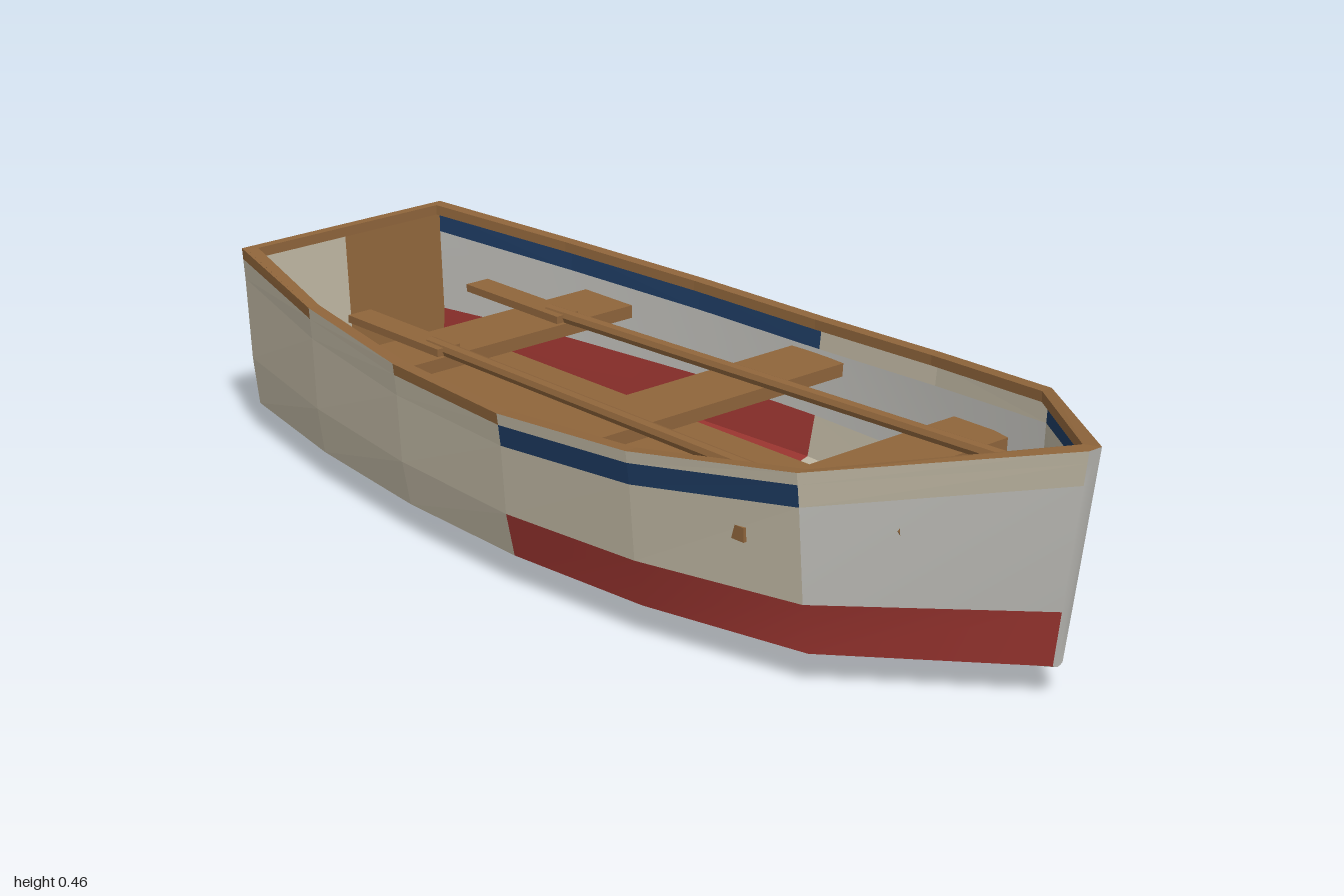
import * as THREE from 'three';
import { toCreasedNormals } from 'three/addons/utils/BufferGeometryUtils.js';

const COLORS = { cream: 0xbdb5a1, grey: 0xbcbbb6, red: 0x98342f, blue: 0x1d3a60, wood: 0x8f653b };
const SMOOTH = ['grey', 'red'];
const materials = {};
for (const [name, color] of Object.entries(COLORS)) {
  materials[name] = new THREE.MeshStandardMaterial({
    color, flatShading: !SMOOTH.includes(name), side: THREE.DoubleSide,
  });
}

// Hull stations, stern to bow: x, sheer y, sheer half width, chine half width, bilge y, bilge half width, keel y
const STATIONS = [
  [-1.0, 0.385, 0.248, 0.235, 0.057, 0.15, 0.055],
  [-0.667, 0.36, 0.33, 0.305, 0.042, 0.205, 0.02],
  [-0.34, 0.345, 0.382, 0.35, 0.033, 0.235, 0.006],
  [-0.02, 0.34, 0.4, 0.365, 0.03, 0.245, 0.002],
  [0.3, 0.355, 0.382, 0.345, 0.033, 0.23, 0.006],
  [0.635, 0.392, 0.307, 0.275, 0.042, 0.19, 0.02],
  [1.0, 0.458, 0.015, 0.012, 0.06, 0.006, 0.058],
];
const SEGS = STATIONS.length - 1;
const ROWS = 6; // keel, bilge, boot, topside, stripe, rim
const CHINE_Y = 0.063;
const PLANK = 0.005;

// Point on the hull at station i, row line j, moved inwards by inset
function hullPoint(i, j, side, inset = 0) {
  const [x0, sheerY, sheerW, chineW, bilgeY, bilgeW, keelY] = STATIONS[i];
  let y, w;
  if (j === 0) [y, w] = [keelY, 0];
  else if (j === 1) [y, w] = [bilgeY, bilgeW];
  else {
    const bootY = i === SEGS ? 0.165 : 0.147 + 0.004 * Math.abs(i - 3);
    y = [CHINE_Y, bootY, sheerY - 0.062, sheerY - 0.022, sheerY][j - 2];
    const t = (y - CHINE_Y) / (sheerY - CHINE_Y);
    w = chineW + (sheerW - chineW) * t + (j === 3 ? 0.02 * chineW : 0);
  }
  // Raked stem and transom
  const drop = Math.min(1, (sheerY - y) / (sheerY - CHINE_Y));
  let x = x0 + (i === 0 ? 0.02 * drop : i === SEGS ? -0.06 * drop : 0);
  if (i === 0) x += inset * 0.8;
  if (i === SEGS) x -= inset * 1.2;
  w = Math.max(Math.min(w, 0.002), w - inset);
  if (j < 3) y += inset;
  return new THREE.Vector3(x, y, side * w);
}

// Collects quads by colour and turns them into one mesh per colour
class Panels {
  constructor(name) { this.name = name; this.sets = {}; }
  quad(color, a, b, c, d) {
    (this.sets[color] ??= []).push(a, b, c, a, c, d);
  }
  build() {
    const group = new THREE.Group();
    group.name = this.name;
    for (const [color, points] of Object.entries(this.sets)) {
      let geometry = new THREE.BufferGeometry().setFromPoints(points);
      geometry.computeVertexNormals();
      if (SMOOTH.includes(color)) geometry = toCreasedNormals(geometry, 1.0);
      const mesh = new THREE.Mesh(geometry, materials[color]);
      mesh.name = `${this.name} ${color} panels`;
      group.add(mesh);
    }
    return group;
  }
}

function outerColor(seg, row) {
  if (row === 0) return seg === 2 ? 'cream' : 'red';
  if (row === 1) return seg === 2 || seg === 5 ? 'cream' : 'red';
  if (row === 2) return seg >= 3 ? 'red' : 'cream';
  if (row === 3) return seg === 5 ? 'grey' : 'cream';
  if (row === 4) return seg === 3 || seg === 4 ? 'blue' : 'cream';
  return seg === 0 || seg === 2 ? 'wood' : 'cream';
}

function innerColor(seg, row) {
  if (row === 0) return seg === 2 ? 'red' : 'cream';
  if (row === 1) return seg === 2 || seg === 5 ? 'red' : 'cream';
  if (row === 2) return seg < 3 ? 'red' : 'cream';
  if (row === 3) return seg < 5 ? 'grey' : 'cream';
  if (row === 4) return seg < 3 || seg === 5 ? 'blue' : 'cream';
  return 'wood';
}

// Both sides of the hull, planked from station to station
function skin(panels, inset, colorOf) {
  for (let i = 0; i < SEGS; i++) {
    for (let j = 0; j < ROWS; j++) {
      const corners = (side) => [
        hullPoint(i, j, side, inset), hullPoint(i + 1, j, side, inset),
        hullPoint(i + 1, j + 1, side, inset), hullPoint(i, j + 1, side, inset)];
      panels.quad(colorOf(i, j), ...corners(1));
      panels.quad(colorOf(i, j), ...corners(-1).reverse());
    }
  }
}

// Flat end of the hull, one half per side
function endPlate(panels, i, inset, colorOf) {
  const centre = (p) => new THREE.Vector3(p.x, p.y, 0);
  const reversedSide = i === 0 ? 1 : -1;
  for (const side of [-1, 1]) {
    for (let j = 0; j < ROWS; j++) {
      const a = hullPoint(i, j, side, inset);
      const b = hullPoint(i, j + 1, side, inset);
      const corners = [a, centre(a), centre(b), b];
      panels.quad(colorOf(side), ...(side === reversedSide ? corners.reverse() : corners));
    }
  }
}

// Wooden rail overhanging the inside of the hull: top, inner edge and underside
function gunwale() {
  const panels = new Panels('gunwale');
  const lower = (p) => p.clone().setY(p.y - 0.02);
  const rail = (i0, side0, i1, side1) => {
    const edge = (inset) => [hullPoint(i0, ROWS, side0, inset), hullPoint(i1, ROWS, side1, inset)];
    const [a, b] = edge(0);
    const [d, c] = edge(0.025);
    const [e, f] = edge(2 * PLANK).map(lower);
    panels.quad('wood', a, b, c, d);
    panels.quad('wood', d, c, lower(c), lower(d));
    panels.quad('wood', lower(d), lower(c), f, e);
  };
  for (const side of [-1, 1]) {
    for (let i = 0; i < SEGS; i++) rail(i, side, i + 1, side);
  }
  for (const i of [0, SEGS]) rail(i, -1, i, 1);
  return panels.build();
}

function box(name, x0, x1, y0, y1, halfZ) {
  const mesh = new THREE.Mesh(new THREE.BoxGeometry(x1 - x0, y1 - y0, 2 * halfZ), materials.wood);
  mesh.position.set((x0 + x1) / 2, (y0 + y1) / 2, 0);
  mesh.name = name;
  return mesh;
}

// Oar lying along the thwarts, blade towards the stern
function oar(side) {
  const group = new THREE.Group();
  group.name = side > 0 ? 'leftOar' : 'rightOar';
  const start = new THREE.Vector3(-0.53, 0.283, side * 0.147);
  const end = new THREE.Vector3(0.762, 0.298, side * 0.184);
  const dir = end.clone().sub(start);
  const shaft = new THREE.Mesh(new THREE.CylinderGeometry(0.014, 0.014, dir.length(), 8), materials.wood);
  shaft.position.copy(start).add(end).multiplyScalar(0.5);
  shaft.quaternion.setFromUnitVectors(new THREE.Vector3(0, 1, 0), dir.normalize());
  shaft.name = 'shaft';
  const blade = box('blade', -0.755, -0.475, 0.275, 0.29, 0.027);
  blade.position.z = side * 0.147;
  group.add(shaft, blade);
  return group;
}

export function createModel() {
  const boat = new THREE.Group();
  boat.name = 'rowingBoat';
  const transomColor = (side) => (side < 0 ? 'wood' : 'cream');

  const outside = new Panels('outerHull');
  skin(outside, 0, outerColor);
  endPlate(outside, 0, 0, transomColor);
  endPlate(outside, SEGS, 0, () => 'grey');

  const inside = new Panels('innerHull');
  skin(inside, PLANK, innerColor);
  endPlate(inside, 0, PLANK, transomColor);
  endPlate(inside, SEGS, PLANK, () => 'cream');

  boat.add(outside.build(), inside.build(), gunwale());
  boat.add(box('floorBoards', -0.845, 0.655, 0.1, 0.118, 0.24));

  // Thwarts from stern to bow
  [['sternThwart', -0.62, 0.318], ['middleThwart', -0.09, 0.385], ['bowThwart', 0.39, 0.325]]
    .forEach(([name, x, halfZ]) => boat.add(box(name, x, x + 0.14, 0.243, 0.269, halfZ)));
  boat.add(oar(1), oar(-1));
  return boat;
}
